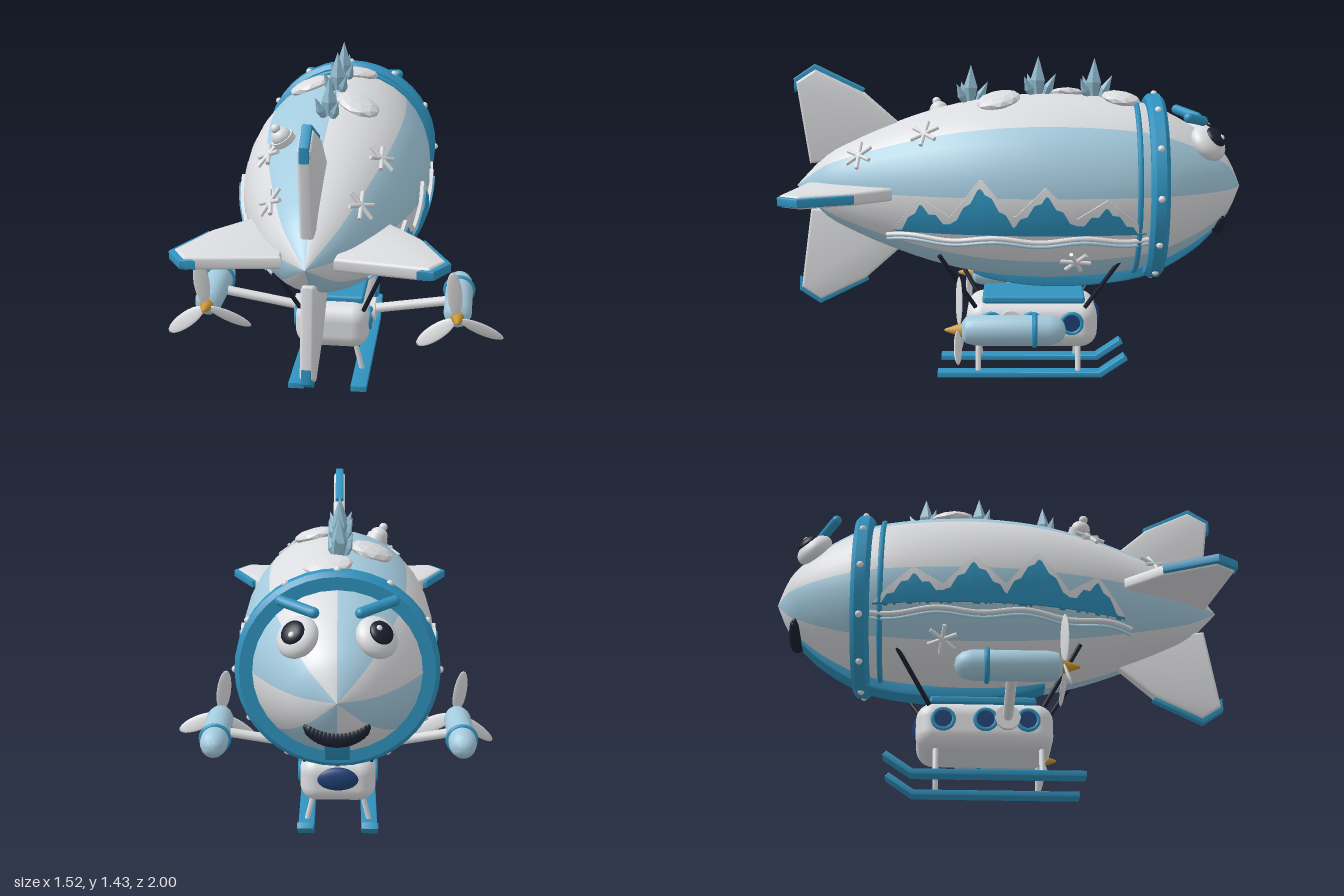
import * as THREE from 'three';
import { toCreasedNormals } from 'three/addons/utils/BufferGeometryUtils.js';
import { RoundedBoxGeometry } from 'three/addons/geometries/RoundedBoxGeometry.js';

const mat = (name, color) => Object.assign(new THREE.MeshStandardMaterial({ color }), { name });
const V = (x, y, z) => new THREE.Vector3(x, y, z);
const CY = 0.85; // height of the hull axis

export function createModel() {
  const white = mat('snow white', 0xdcdde0), pale = mat('pale ice blue', 0xa4cbde), blue = mat('deep blue', 0x2f93bf);
  const glass = mat('window navy', 0x1f3f73), dark = mat('near black', 0x1b2030), gold = mat('gold', 0xc6952f);
  const crystalMat = mat('crystal blue', 0x8fb9cd);
  const root = new THREE.Group();
  root.name = 'airship';
  const ship = new THREE.Group();
  ship.name = 'airshipBody';
  ship.position.x = -0.014;
  root.add(ship);

  const add = (name, geo, m, parent = ship) => {
    const mesh = new THREE.Mesh(geo, m);
    mesh.name = name;
    parent.add(mesh);
    return mesh;
  };
  const rod = (name, a, b, r, m, parent = ship) => {
    const mesh = add(name, new THREE.CylinderGeometry(r, r, a.distanceTo(b), 10), m, parent);
    mesh.position.copy(a).lerp(b, 0.5);
    mesh.quaternion.setFromUnitVectors(V(0, 1, 0), b.clone().sub(a).normalize());
    return mesh;
  };
  const ball = (name, r, m, pos, scale = [1, 1, 1], parent = ship) => {
    const mesh = add(name, new THREE.SphereGeometry(r, 20, 14), m, parent);
    mesh.position.copy(pos);
    mesh.scale.set(...scale);
    return mesh;
  };
  // plate drawn in (z, y), centred across x
  const sidePlate = (pts, depth, bevel) => {
    const g = new THREE.ExtrudeGeometry(new THREE.Shape(pts.map(p => new THREE.Vector2(...p))),
      { depth, bevelEnabled: bevel > 0, bevelSize: bevel, bevelThickness: bevel, bevelSegments: 3 });
    return toCreasedNormals(g.translate(0, 0, -depth / 2).rotateY(-Math.PI / 2), 0.6);
  };

  // hull: eight striped lathe sectors
  const profile = new THREE.SplineCurve([[0, -1], [0.13, -0.94], [0.21, -0.86], [0.29, -0.745], [0.36, -0.6], [0.395, -0.43],
    [0.413, -0.2], [0.41, 0], [0.386, 0.2], [0.338, 0.4], [0.273, 0.585], [0.215, 0.72], [0.14, 0.86], [0, 1]]
    .map(p => new THREE.Vector2(...p))).getPoints(39);
  profile[0].x = profile[39].x = 0;
  for (let i = 0; i < 8; i++) {
    const g = new THREE.LatheGeometry(profile, 4, i * Math.PI / 4, Math.PI / 4).rotateX(Math.PI / 2);
    add('hullStripe', g, i % 2 ? white : pale).position.y = CY;
  }
  const R = z => {
    const i = Math.max(1, profile.findIndex(p => p.y >= z));
    const a = profile[i - 1], b = profile[i];
    return THREE.MathUtils.mapLinear(z, a.y, b.y, a.x, b.x);
  };
  const normalAt = (z, t) => V(Math.cos(t), Math.sin(t), (R(z - 0.02) - R(z + 0.02)) / 0.04).normalize();
  const onHull = (z, t, off = 0) => V(R(z) * Math.cos(t), CY + R(z) * Math.sin(t), z).addScaledVector(normalAt(z, t), off);
  // group whose +z points away from the hull
  const hullGroup = (name, z, t, off) => {
    const g = new THREE.Group();
    g.name = name;
    g.position.copy(onHull(z, t, off));
    g.quaternion.setFromUnitVectors(V(0, 0, 1), normalAt(z, t));
    ship.add(g);
    return g;
  };
  const angleAt = (z, y, s) => { const t = Math.asin((y - CY) / R(z)); return s > 0 ? t : Math.PI - t; };

  // collar rings with studs
  const ringProfile = [[0.33, -0.04], [0.395, -0.04], [0.415, -0.022], [0.415, 0.022], [0.395, 0.04], [0.33, 0.04]];
  const collar = new THREE.LatheGeometry(ringProfile.map(p => new THREE.Vector2(...p)), 40).rotateX(Math.PI / 2);
  add('collarRing', toCreasedNormals(collar, 0.5), blue).position.set(0, CY, -0.605);
  add('thinRing', new THREE.TorusGeometry(0.386, 0.012, 8, 40), blue).position.set(0, CY, -0.52);
  for (let i = 0; i < 12; i++) {
    const t = i * Math.PI / 6;
    ball('collarStud', 0.015, white, V(0.413 * Math.cos(t), CY + 0.413 * Math.sin(t), -0.605));
  }

  // keel along the belly
  const low = [], high = [];
  for (let i = 0; i <= 20; i++) {
    const z = 0.2 - i * 0.0535, y = CY - R(z);
    low.push([z, y - 0.004 - 0.036 * Math.sqrt(Math.sin(Math.PI * i / 20) + 1e-6)]);
    high.unshift([z, y + 0.025]);
  }
  add('keel', sidePlate([...low, ...high], 0.09, 0.006), blue);

  // four tail fins with tip trim
  const finGeo = sidePlate([[0.975, 0.46], [0.9, 0.508], [0.7, 0.412], [0.545, 0.275], [0.545, 0.15], [0.925, 0.115]], 0.03, 0.013);
  const trimGeo = sidePlate([[0.995, 0.425], [0.995, 0.48], [0.905, 0.54], [0.69, 0.435], [0.7, 0.405], [0.9, 0.5], [0.965, 0.46]], 0.03, 0.004);
  for (let i = 0; i < 4; i++) {
    const fin = new THREE.Group();
    fin.name = 'tailFin';
    fin.position.y = CY;
    fin.rotation.z = i * Math.PI / 2;
    ship.add(fin);
    add('finPanel', finGeo, white, fin);
    add('finTrim', trimGeo, blue, fin);
  }

  // raised mountain panels following the hull
  const ridge = [[-0.55, 0.7], [-0.49, 0.755], [-0.38, 0.845], [-0.25, 0.765], [-0.118, 0.9], [0.015, 0.77], [0.155, 0.935], [0.29, 0.765], [0.42, 0.85], [0.54, 0.7]];
  const ridgeY = z => {
    const i = Math.max(1, ridge.findIndex(p => p[0] >= z - 1e-9));
    return THREE.MathUtils.mapLinear(z, ridge[i - 1][0], ridge[i][0], ridge[i - 1][1], ridge[i][1]);
  };
  const panel = (top, off, s) => {
    const pos = [], idx = [], N = 109, M = 8;
    for (let i = 0; i <= N; i++) {
      const z = -0.55 + i * 0.01, hi = top(z, i);
      for (let j = 0; j < M; j++) {
        const y = 0.69 + (hi - 0.69) * THREE.MathUtils.clamp((j - 1) / (M - 3), 0, 1);
        const r = R(z) + (j === 0 || j === M - 1 ? -0.02 : off);
        pos.push(s * Math.sqrt(r * r - (y - CY) ** 2), y, z);
        if (i < N && j < M - 1) {
          const a = i * M + j, b = a + M, c = b + 1, d = a + 1;
          idx.push(...(s > 0 ? [a, d, b, b, d, c] : [a, b, d, b, c, d]));
        }
      }
    }
    const g = new THREE.BufferGeometry();
    g.setAttribute('position', new THREE.Float32BufferAttribute(pos, 3));
    g.setIndex(idx);
    return toCreasedNormals(g, 0.6);
  };
  const jag = [0, 0.006, 0.013, 0.02, 0.013, 0.006];
  for (const s of [1, -1]) {
    add('mountainSnow', panel(ridgeY, 0.014, s), white);
    add('mountainFace', panel((z, i) => Math.max(0.695, ridgeY(z) - 0.03 - jag[i % 6]), 0.021, s), blue);

    // wavy trim under the mountains
    [[0.668, 0.011, white], [0.648, 0.008, pale]].forEach(([y0, r, m]) => {
      const pts = [];
      for (let i = 0; i <= 40; i++) {
        const z = 0.57 - i * 0.0282, y = y0 + 0.009 * Math.sin(i * 0.47);
        pts.push(onHull(z, angleAt(z, y, s), 0.008));
      }
      add('waveTrim', new THREE.TubeGeometry(new THREE.CatmullRomCurve3(pts), 80, r, 6), m);
    });

    // snowflakes
    [[0.69, 1.0], [0.4, 1.1], [-0.25, 0.565]].forEach(([z, y]) => {
      const flake = hullGroup('snowflake', z, angleAt(z, y, s), 0.012);
      for (let k = 0; k < 3; k++) {
        const t = k * Math.PI / 3 + 0.1, e = V(0.066 * Math.cos(t), 0.066 * Math.sin(t), 0);
        rod('snowflakeArm', e, e.clone().negate(), 0.009, white, flake);
      }
    });

    // eye and brow
    const eye = hullGroup('eye', -0.82, s > 0 ? 0.94 : Math.PI - 0.94, 0.02);
    ball('eyeWhite', 0.088, white, V(0, 0, 0), [1, 1, 0.6], eye);
    ball('pupil', 0.05, dark, V(0, 0.006, 0.045), [1, 1, 0.45], eye);
    ball('eyeGlint', 0.012, white, V(0.015, 0.02, 0.064), [1, 1, 0.6], eye);
    const a = V(s * 0.09, 1.15, -0.815), b = V(s * 0.22, 1.175, -0.735);
    rod('brow', a, b, 0.022, blue);
    ball('browEnd', 0.022, blue, a);
    ball('browEnd', 0.022, blue, b);

    // engine nacelle, arm and propeller
    const engine = new THREE.Group();
    engine.name = 'engine';
    engine.position.set(s * 0.565, 0.325, 0);
    ship.add(engine);
    const pod = [[0, -0.2], [0.03, -0.193], [0.053, -0.17], [0.063, -0.13], [0.063, 0.18], [0.055, 0.215], [0.035, 0.23], [0, 0.23]];
    add('nacelle', toCreasedNormals(new THREE.LatheGeometry(pod.map(p => new THREE.Vector2(...p)), 24).rotateX(Math.PI / 2), 0.7), pale, engine);
    add('nacelleRing', new THREE.TorusGeometry(0.064, 0.011, 8, 28), blue, engine).position.z = -0.07;
    add('propellerHub', new THREE.CylinderGeometry(0.006, 0.032, 0.075, 10).rotateX(Math.PI / 2), gold, engine).position.z = 0.265;
    for (let k = 0; k < 3; k++) {
      const blade = add('propellerBlade', new THREE.SphereGeometry(1, 14, 10).scale(0.105, 0.036, 0.007).rotateX(0.4).translate(0.118, 0, 0), white, engine);
      blade.position.z = 0.243;
      blade.rotation.z = 1.7 + k * Math.PI * 2 / 3;
    }
    rod('engineArm', V(s * 0.17, 0.258, 0.034), V(s * 0.53, 0.318, 0.034), 0.022, white);
    rod('armFlange', V(s * 0.155, 0.256, 0.034), V(s * 0.187, 0.256, 0.034), 0.055, white);

    // portholes
    for (const z of [0.12, -0.06, -0.24]) {
      rod('portholeGlass', V(s * 0.155, 0.25, z), V(s * 0.172, 0.25, z), 0.043, glass).geometry = new THREE.CylinderGeometry(0.043, 0.043, 0.017, 24);
      const rim = add('portholeRim', new THREE.TorusGeometry(0.045, 0.009, 8, 24).rotateY(Math.PI / 2), blue);
      rim.position.set(s * 0.168, 0.25, z);
    }

    // suspension cables, landing legs and skids
    rod('cable', V(s * 0.24, 0.575, 0.345), V(s * 0.145, 0.32, 0.19), 0.01, dark);
    rod('cable', V(s * 0.24, 0.565, -0.455), V(s * 0.145, 0.32, -0.3), 0.01, dark);
    for (const z of [0.18, -0.27]) rod('landingLeg', V(s * 0.105, 0.16, z), V(s * 0.14, 0.015, z), 0.012, white);
    add('skid', sidePlate([[0.36, 0.003], [0.36, 0.022], [-0.365, 0.022], [-0.475, 0.098], [-0.488, 0.082], [-0.372, 0.003]], 0.066, 0.003), blue).position.x = s * 0.14;
  }

  // smiling mouth wrapped under the nose
  for (let i = 0; i < 17; i++) {
    const u = (i - 8) / 8, p = onHull(-0.9, -Math.PI / 2 + u * 0.72, 0.004);
    ball('mouth', 0.016 + 0.022 * Math.sqrt(1 - u * u), dark, p, [0.8, 1, 0.8]);
  }

  // snow patches on the back
  [[-0.455, 0.04], [-0.215, -0.14], [0.085, 0.105]].forEach(([z, x], i) => {
    const g = new THREE.IcosahedronGeometry(0.105, 1).scale(1, 0.85, 0.3);
    const geo = g.toNonIndexed ? toCreasedNormals(g, 0.05) : g;
    add('snowPatch', geo, white, hullGroup('snowPatchMount', z, Math.acos(x / R(z)), 0.005)).rotation.z = i;
  });

  // ice crystal clusters
  const spike = toCreasedNormals(new THREE.LatheGeometry([[0.018, 0], [0.036, 0.075], [0.001, 0.18]].map(p => new THREE.Vector2(...p)), 5), 0.05);
  [[0.21, 0.95], [-0.09, 1], [-0.34, 1]].forEach(([z, k]) => {
    [[0, 0, 1], [0.35, 0.3, 0.62], [-0.3, 0.4, 0.6], [-0.1, -0.45, 0.65]].forEach(([rz, rx, sc]) => {
      const c = add('iceCrystal', spike, crystalMat);
      c.position.set(-0.005 - rz * 0.05, CY + R(z) - 0.015, z + rx * 0.06);
      c.rotation.set(rx, 0, rz);
      c.scale.setScalar(sc * k);
    });
  });

  // small snow cap ornament
  const cap = hullGroup('snowCap', 0.36, 2.09, 0);
  add('capBrim', new THREE.CylinderGeometry(0.05, 0.05, 0.03, 20).rotateX(Math.PI / 2), white, cap).position.z = 0.01;
  ball('capDome', 0.043, white, V(0, 0, 0.028), [1, 1, 0.9], cap);
  ball('capBobble', 0.02, white, V(0, 0, 0.072), [1, 1, 1], cap);

  // gondola cabin
  add('gondola', new RoundedBoxGeometry(0.335, 0.215, 0.59, 5, 0.075), white).position.set(0, 0.235, -0.062);
  add('gondolaRoof', new RoundedBoxGeometry(0.28, 0.035, 0.46, 2, 0.012), blue).position.set(0, 0.35, -0.07);
  ball('windshield', 1, glass, V(0, 0.25, -0.345), [0.1, 0.055, 0.03]);

  return root;
}
